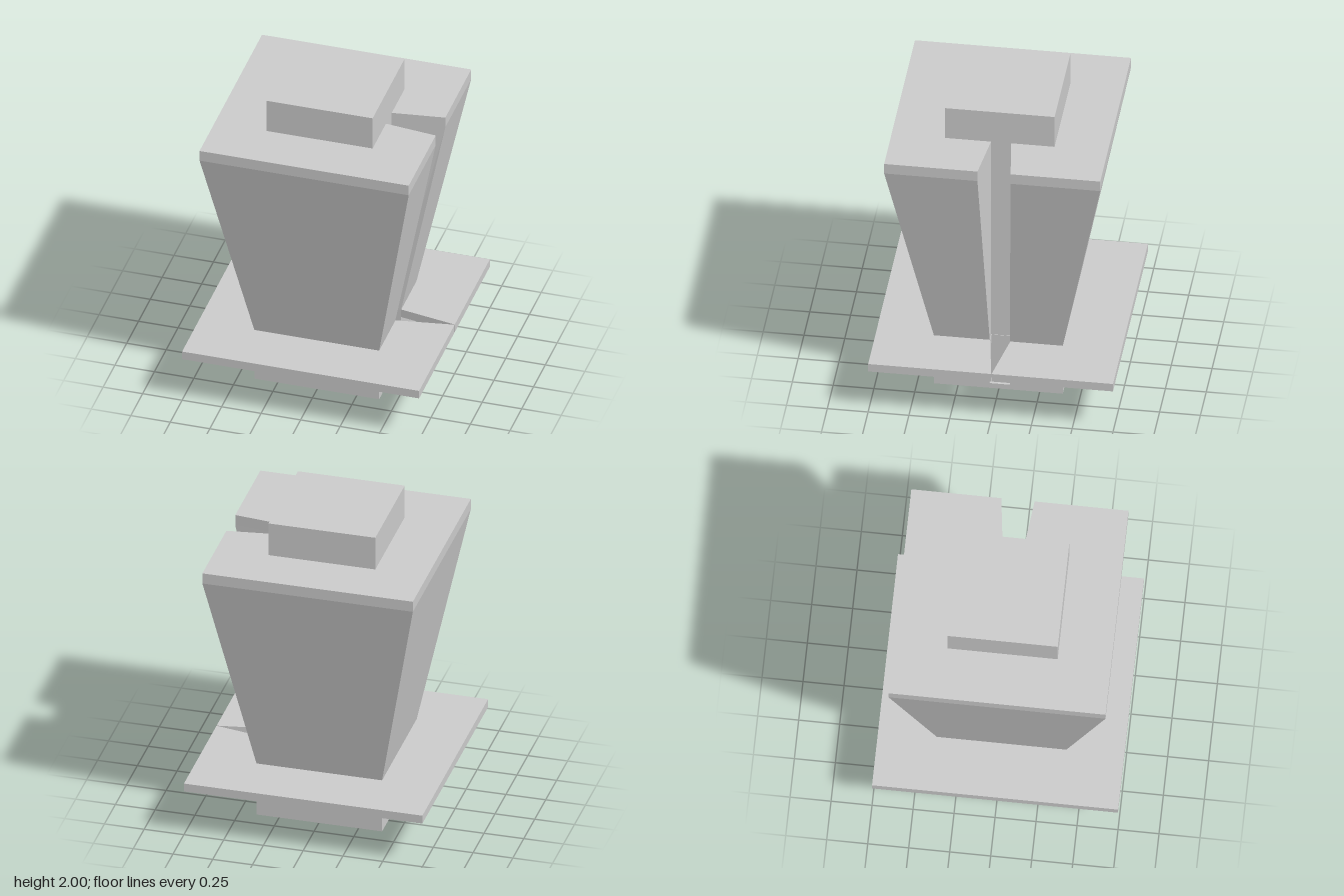
import * as THREE from 'three';

const material = new THREE.MeshStandardMaterial({ color: 0xcccccc, flatShading: true });

// Slot in the +x side: back wall position and its two edges
const SLOT_X = 0.335, SLOT_FRONT = 0.053, SLOT_BACK = -0.07;

// Square outline of half-width h, notched on +x; counter-clockwise seen from above
function notchedSquare(h, mouthFront, mouthBack, bend = []) {
  return [
    [h, h], [h, mouthFront],
    ...bend.map((x) => [x, SLOT_FRONT]),
    [SLOT_X, SLOT_FRONT], [SLOT_X, SLOT_BACK],
    ...bend.map((x) => [x, SLOT_BACK]),
    [h, mouthBack], [h, -h], [-h, -h], [-h, h],
  ];
}

// Closed solid through a stack of outlines [{ y, points: [x, z] }]
function loft(name, levels) {
  const out = [];
  const put = (level, i) => out.push(level.points[i][0], level.y, level.points[i][1]);
  const n = levels[0].points.length;
  for (let k = 0; k < levels.length - 1; k++) {
    const a = levels[k], b = levels[k + 1];
    for (let i = 0; i < n; i++) {
      const j = (i + 1) % n;
      put(a, i); put(a, j); put(b, j);
      put(a, i); put(b, j); put(b, i);
    }
  }
  const cap = (level, flip) => {
    const flat = level.points.map(([x, z]) => new THREE.Vector2(x, -z));
    for (const [p, q, r] of THREE.ShapeUtils.triangulateShape(flat, [])) {
      (flip ? [p, r, q] : [p, q, r]).forEach((i) => put(level, i));
    }
  };
  cap(levels[0], true);
  cap(levels[levels.length - 1], false);

  const geometry = new THREE.BufferGeometry();
  geometry.setAttribute('position', new THREE.Float32BufferAttribute(out, 3));
  geometry.computeVertexNormals();
  const mesh = new THREE.Mesh(geometry, material);
  mesh.name = name;
  return mesh;
}

function block(name, size, y0, y1) {
  const mesh = new THREE.Mesh(new THREE.BoxGeometry(size, y1 - y0, size), material);
  mesh.name = name;
  mesh.position.y = (y0 + y1) / 2;
  return mesh;
}

export function createModel() {
  const model = new THREE.Group();
  model.name = 'taperedBlock';

  // Foot below the slot, then the slotted body flaring up to a short straight rim
  const narrow = notchedSquare(0.395, SLOT_FRONT, SLOT_BACK);
  const wide = notchedSquare(0.662, 0.09, -0.113);
  const core = new THREE.Group();
  core.name = 'core';
  core.position.set(-0.003, 0, 0.003);
  core.add(
    block('foot', 0.79, 0, 0.035),
    loft('slottedBody', [
      { y: 0.035, points: narrow },
      { y: 0.355, points: narrow },
      { y: 1.71, points: wide },
      { y: 1.78, points: wide },
    ]),
    block('cap', 0.672, 1.78, 2),
  );

  // Thin plate, its notch closing to a point at the edge
  const plate = notchedSquare(0.75, -0.004, -0.006, [0.392]);
  // keep the notch outline in order: mouth, bend, back wall, bend, mouth
  model.add(core, loft('plate', [
    { y: 0.3, points: plate },
    { y: 0.355, points: plate },
  ]));
  return model;
}
